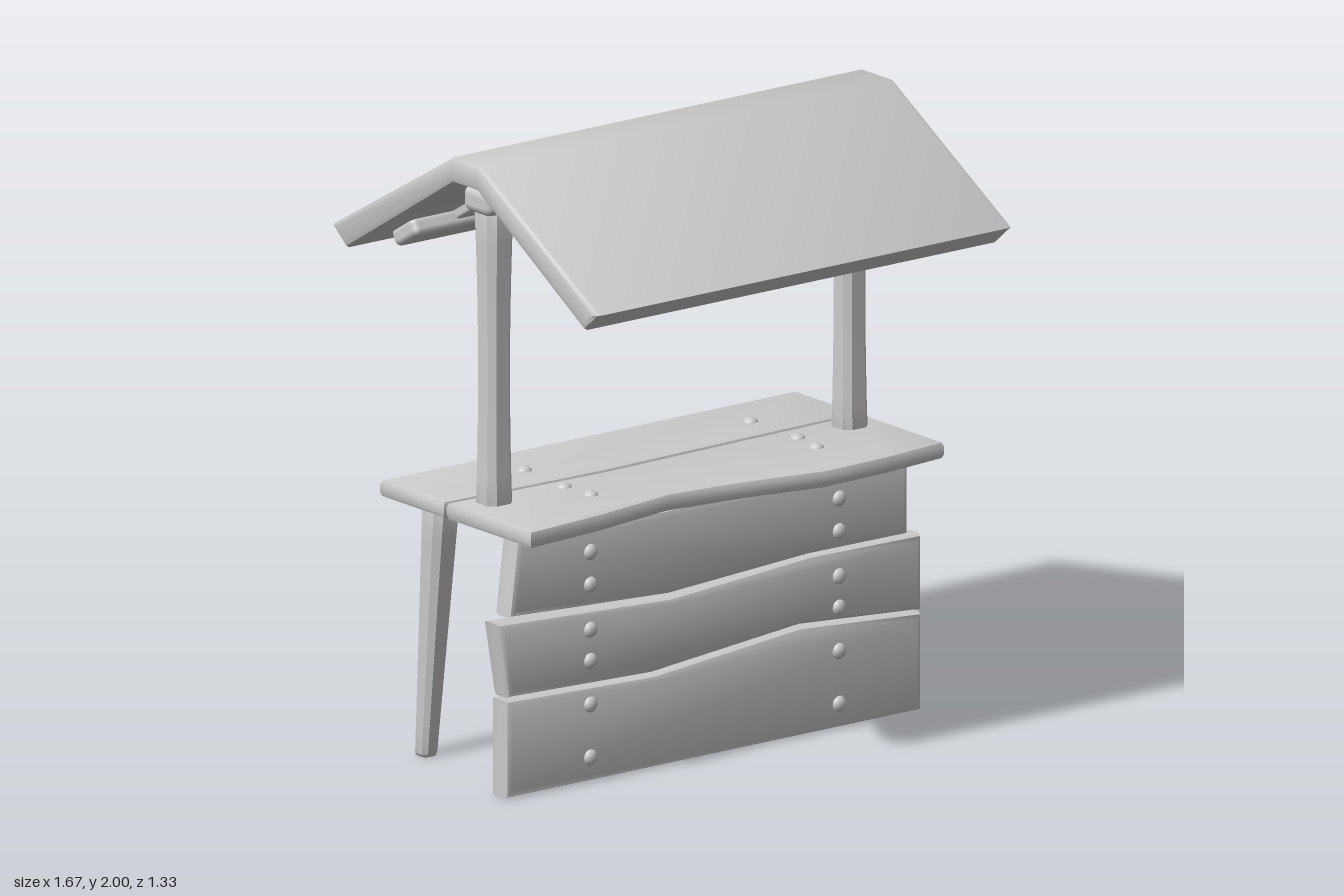
import * as THREE from 'three';
import { toCreasedNormals } from 'three/addons/utils/BufferGeometryUtils.js';
import { RoundedBoxGeometry } from 'three/addons/geometries/RoundedBoxGeometry.js';

const material = new THREE.MeshStandardMaterial({ color: 0xcccccc });

export function createModel() {
  const model = new THREE.Group();
  const add = (name, geometry, x = 0, y = 0, z = 0) => {
    const mesh = new THREE.Mesh(geometry, material);
    mesh.name = name;
    mesh.position.set(x, y, z);
    model.add(mesh);
    return mesh;
  };

  // Outline extruded along z from 0 to depth, bevelled inward on both faces
  const slab = (points, depth, bevel, steps = 1) => {
    const shape = new THREE.Shape(points.map(([x, y]) => new THREE.Vector2(x, y)));
    return new THREE.ExtrudeGeometry(shape, {
      depth: depth - 2 * bevel, steps, bevelEnabled: true, bevelSize: bevel,
      bevelThickness: bevel, bevelOffset: -bevel, bevelSegments: 2,
    }).translate(0, 0, bevel);
  };
  const smooth = (geometry) => toCreasedNormals(geometry, 0.75);

  // Upright timber: chamfered square section, width and z shift follow the height
  const timber = (height, width, shift = () => 0) => {
    const a = 0.5, c = 0.28;
    const outline = [[a, -c], [a, c], [c, a], [-c, a], [-a, c], [-a, -c], [-c, -a], [c, -a]]
      .map(([x, y]) => [x * 0.1, y * 0.1]);
    const geometry = slab(outline, height, 0.012, 8).rotateX(-Math.PI / 2);
    const p = geometry.attributes.position;
    for (let i = 0; i < p.count; i++) {
      const t = p.getY(i) / height, s = width(t) / 0.1;
      p.setXYZ(i, p.getX(i) * s, p.getY(i), p.getZ(i) * s + shift(t));
    }
    geometry.computeVertexNormals();
    return smooth(geometry);
  };

  // Front boards with wavy joints
  const boards = {
    topFrontBoard: [[-0.76, 0.82], [-0.79, 0.58], [-0.15, 0.547], [0.4, 0.577], [0.78, 0.575], [0.78, 0.82]],
    middleFrontBoard: [[-0.835, 0.567], [-0.795, 0.323], [-0.22, 0.305], [0.36, 0.357], [0.833, 0.322],
      [0.833, 0.567], [0.4, 0.573], [-0.15, 0.535]],
    bottomFrontBoard: [[-0.803, 0], [0.833, 0], [0.833, 0.315], [0.36, 0.35], [-0.22, 0.298], [-0.803, 0.316]],
  };
  for (const [name, outline] of Object.entries(boards)) {
    add(name, smooth(slab(outline, 0.085, 0.022)), 0, 0, 0.13);
  }

  // Battens behind the boards and under the counter
  for (const x of [-0.47, 0.49]) {
    add('boardBatten', new RoundedBoxGeometry(0.12, 0.61, 0.04, 2, 0.01), x, 0.45, 0.12);
    add('counterBatten', new RoundedBoxGeometry(0.12, 0.035, 0.31, 2, 0.01), x, 0.826, -0.07);
  }

  // Counter: two planks, outlines in x and -z
  const counter = {
    frontCounterPlank: [[-0.803, -0.335], [-0.5, -0.31], [-0.2, -0.262], [0.05, -0.29], [0.35, -0.353],
      [0.6, -0.345], [0.833, -0.32], [0.833, 0.093], [0.4, 0.085], [-0.2, 0.068], [-0.803, 0.088]],
    backCounterPlank: [[-0.803, 0.1], [-0.2, 0.08], [0.4, 0.097], [0.833, 0.105], [0.833, 0.42], [-0.803, 0.42]],
  };
  for (const [name, outline] of Object.entries(counter)) {
    add(name, smooth(slab(outline, 0.06, 0.018).rotateX(-Math.PI / 2)), 0, 0.83, 0);
  }

  // Round bolt heads on the boards and the counter
  const bolt = new THREE.SphereGeometry(0.026, 12, 8).scale(1, 1, 0.75);
  for (const y of [0.08, 0.25, 0.39, 0.49, 0.635, 0.74]) {
    for (const x of [-0.475, 0.503]) add('frontBolt', bolt, x, y, 0.213);
  }
  for (const [x, z] of [[-0.4, 0.12], [-0.41, 0], [-0.39, -0.225], [0.48, 0.13], [0.5, 0.01], [0.5, -0.225]]) {
    add('counterBolt', bolt, x, 0.885, z).rotation.x = -Math.PI / 2;
  }

  // Waisted posts and splayed back legs
  const postWidth = (t) => 0.087 + 0.07 * (t - 0.45) ** 2;
  for (const x of [-0.685, 0.713]) {
    add('post', timber(1.02, postWidth), x, 0.84, 0);
    add('backLeg', timber(0.835, (t) => 0.06 + 0.042 * t, (t) => -0.34 + 0.075 * t), x, 0, 0);
  }

  // Ridge beam and folded roof
  add('ridgeBeam', new RoundedBoxGeometry(1.55, 0.085, 0.135, 2, 0.028), 0.014, 1.868, 0);
  const roof = [[0.667, 1.655], [0.07, 2], [-0.07, 2], [-0.667, 1.655], [-0.595, 1.593],
    [-0.06, 1.92], [0.06, 1.92], [0.595, 1.593]];
  add('roof', smooth(slab(roof, 1.636, 0.018).rotateY(Math.PI / 2)), -0.803, 0, 0);

  // Rafters and eave battens under both slopes
  const slope = Math.atan(0.6);
  for (const side of [-1, 1]) {
    for (const x of [-0.47, 0.43]) {
      add('rafter', new RoundedBoxGeometry(0.1, 0.04, 0.48, 2, 0.01), x, 1.783, side * 0.265)
        .rotation.x = side * slope;
    }
    add('eaveBatten', new RoundedBoxGeometry(1.33, 0.06, 0.13, 2, 0.02), -0.02, 1.653, side * 0.455)
      .rotation.x = side * slope;
  }
  return model;
}
